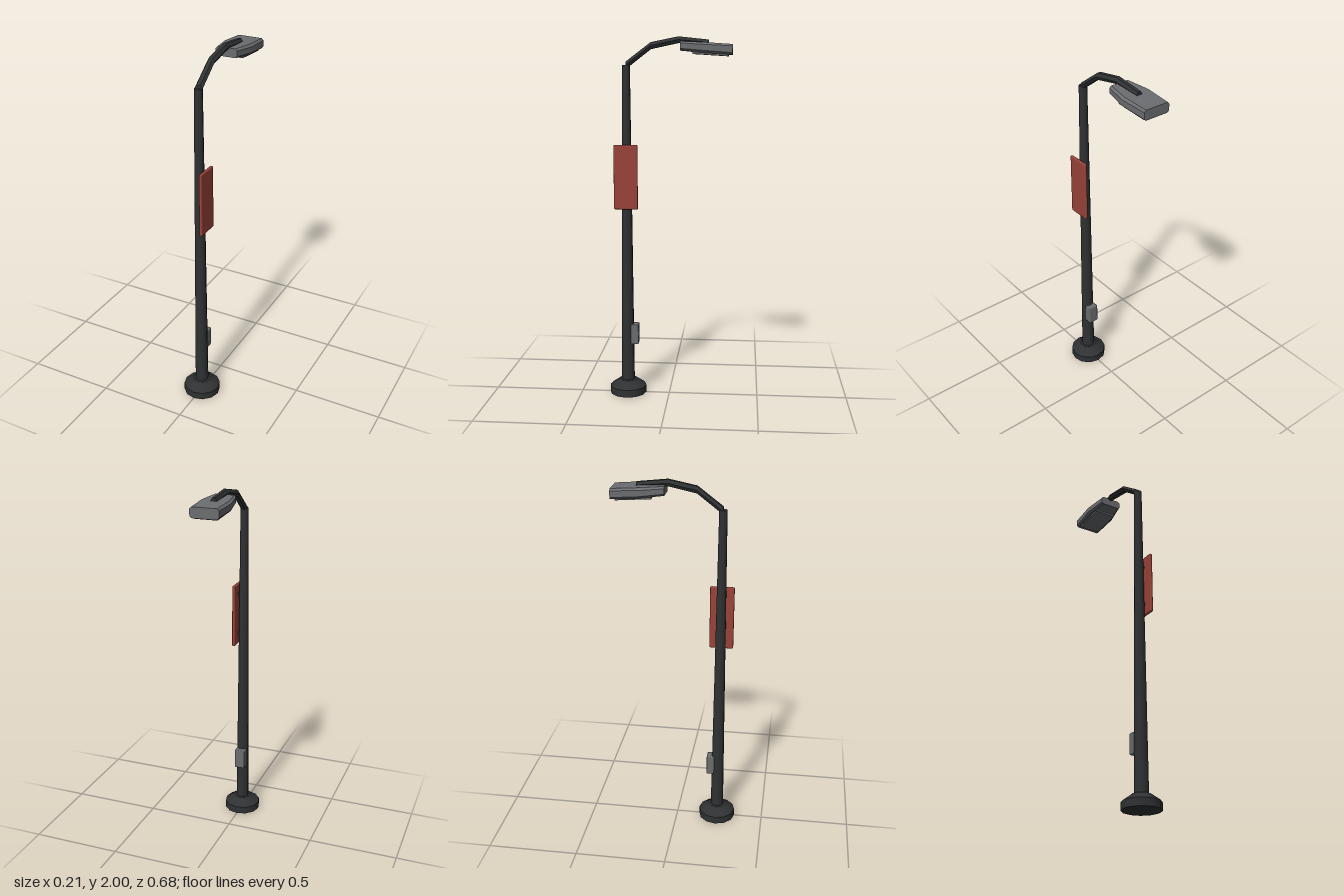
import * as THREE from 'three';
import { toCreasedNormals } from 'three/addons/utils/BufferGeometryUtils.js';
import { RoundedBoxGeometry } from 'three/addons/geometries/RoundedBoxGeometry.js';

const POLE_Z = 0.235;
const paint = (color) => new THREE.MeshStandardMaterial({ color });

// Skin over equal rings of points, each counter-clockwise seen from +z, ordered towards -z
function loft(rings) {
  const n = rings[0].length;
  const index = [];
  for (let i = 0; i < rings.length - 1; i++) {
    for (let j = 0; j < n; j++) {
      const a = i * n + j, b = i * n + (j + 1) % n;
      index.push(a, a + n, b, b, a + n, b + n);
    }
  }
  const last = (rings.length - 1) * n;
  for (let j = 1; j < n - 1; j++) {
    index.push(0, j, j + 1, last, last + j + 1, last + j);
  }
  const geo = new THREE.BufferGeometry();
  geo.setAttribute('position', new THREE.Float32BufferAttribute(rings.flat(2), 3));
  geo.setIndex(index);
  return toCreasedNormals(geo, 0.4);
}

// Box section with chamfered corners
function chamferedRing(z, halfWidth, bottom, top, c) {
  const w = halfWidth;
  return [
    [w, bottom + c], [w, top - c], [w - c, top], [c - w, top],
    [-w, top - c], [-w, bottom + c], [c - w, bottom], [w - c, bottom],
  ].map(([x, y]) => [x, y, z]);
}

// Six-sided section with a flat top
function hexRing(z, y, r) {
  return Array.from({ length: 6 }, (_, k) => {
    const a = k * Math.PI / 3;
    return [r * Math.cos(a), y + r * Math.sin(a), z];
  });
}

export function createModel() {
  const model = new THREE.Group();
  const dark = paint(0x2f3133), grey = paint(0x6b6d70), red = paint(0x9a4339);

  function add(name, geometry, material, x = 0, y = 0, z = 0) {
    const mesh = new THREE.Mesh(geometry, material);
    mesh.name = name;
    mesh.position.set(x, y, z);
    model.add(mesh);
    return mesh;
  }

  // Foot with a sloping shoulder
  const footProfile = [[0, 0], [0.103, 0], [0.103, 0.042], [0.05, 0.08], [0, 0.08]]
    .map(([r, y]) => new THREE.Vector2(r, y));
  add('base', toCreasedNormals(new THREE.LatheGeometry(footProfile, 12), 0.6), dark, 0, 0, POLE_Z);

  // Tapered pole
  const pole = new THREE.CylinderGeometry(0.022, 0.037, 1.78, 10, 1, false, Math.PI / 2);
  add('pole', pole, dark, 0, 0.96, POLE_Z);

  // Bent arm
  add('arm', loft([
    hexRing(POLE_Z, 1.848, 0.022),
    hexRing(0.1, 1.951, 0.021),
    hexRing(-0.05, 1.982, 0.02),
    hexRing(-0.213, 1.967, 0.017),
  ]), dark);

  // Lamp head and the lens below it
  add('lampHead', loft([
    chamferedRing(-0.062, 0.061, 1.925, 1.973, 0.01),
    chamferedRing(-0.19, 0.084, 1.912, 1.967, 0.012),
    chamferedRing(-0.34, 0.077, 1.902, 1.957, 0.01),
  ]), grey);
  const lens = add('lens', new THREE.BoxGeometry(0.12, 0.012, 0.19), grey, 0, 1.907, -0.223);
  lens.rotation.x = -0.065;

  // Sign panel and its mounts on the model's left
  add('signPanel', new RoundedBoxGeometry(0.017, 0.355, 0.132, 2, 0.007), red, 0.039, 1.244, 0.236);
  for (const y of [1.13, 1.36]) {
    add('signMount', new THREE.BoxGeometry(0.02, 0.02, 0.02), dark, 0.026, y, POLE_Z);
  }

  // Service box behind the pole
  add('serviceBox', new RoundedBoxGeometry(0.06, 0.115, 0.045, 1, 0.006), grey, 0, 0.348, 0.195);

  return model;
}
